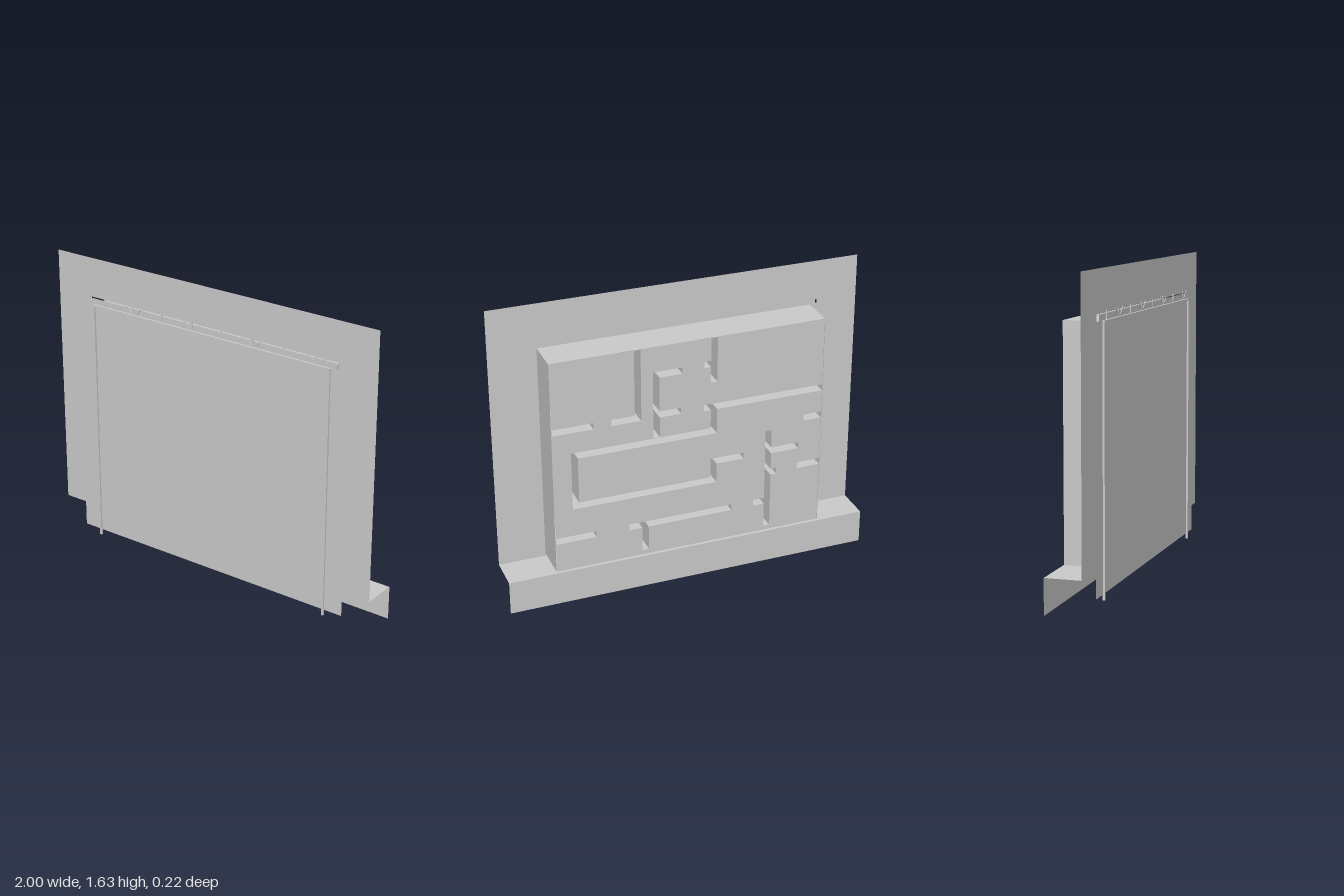
import * as THREE from 'three';

const grey = new THREE.MeshStandardMaterial({ color: 0xcccccc, side: THREE.DoubleSide });
grey.name = 'plainGrey';

export function createModel() {
  const root = new THREE.Group();
  const add = (name, geo, x = 0, y = 0, z = 0, parent = root) => {
    const m = new THREE.Mesh(geo, grey);
    m.name = name;
    m.position.set(x, y, z);
    parent.add(m);
    return m;
  };
  // box given by its limits
  const slab = (name, x0, x1, y0, y1, z0, z1) =>
    add(name, new THREE.BoxGeometry(x1 - x0, y1 - y0, z1 - z0), (x0 + x1) / 2, (y0 + y1) / 2, (z0 + z1) / 2);
  const rectPath = (P, x0, x1, y0, y1) => {
    const p = new P();
    p.moveTo(x0, y0); p.lineTo(x1, y0); p.lineTo(x1, y1); p.lineTo(x0, y1); p.closePath();
    return p;
  };

  // Folded backing sheet: upright with an opening, ledge, and skirt
  const sheet = rectPath(THREE.Shape, -1, 1, 0.185, 1.63);
  sheet.holes.push(rectPath(THREE.Path, -0.775, 0.775, 0.19, 1.415));
  add('backingSheet', new THREE.ShapeGeometry(sheet), 0, 0, 0.08);
  add('ledge', new THREE.PlaneGeometry(2, 0.19).rotateX(-Math.PI / 2), 0, 0.185, -0.015);
  add('skirt', new THREE.PlaneGeometry(2, 0.185).rotateY(Math.PI), 0, 0.0925, -0.11);
  slab('ledgeLip', -0.74, 0.74, 0.15, 0.184, -0.108, -0.095);

  // Front panel and the taller sheet behind it
  add('frontPanel', new THREE.PlaneGeometry(1.7, 1.325), 0, 0.7225, 0.1);
  add('innerSheet', new THREE.PlaneGeometry(1.55, 1.225), 0, 0.8025, 0.094);

  // Narrow frame standing proud of the front panel
  for (const s of [-1, 1]) slab('frameSide', s * 0.74 - 0.005, s * 0.74 + 0.005, 0.03, 1.385, 0.098, 0.11);
  slab('frameTop', -0.74, 0.74, 1.375, 1.385, 0.098, 0.11);

  // Lattice tucked behind the front panel
  const lattice = new THREE.Group();
  lattice.name = 'lattice';
  root.add(lattice);
  for (let i = 0; i < 8; i++) {
    add('uprightBar', new THREE.BoxGeometry(0.012, 1.36, 0.003), -0.67 + i * 0.19, 0.75, 0.0975, lattice);
  }
  for (let i = 0; i < 7; i++) {
    add('crossBar', new THREE.BoxGeometry(1.56, 0.012, 0.003), 0, 1.28 - i * 0.19, 0.0975, lattice);
  }
  for (let i = 0; i < 4; i++) for (const s of [-1, 1]) {
    const tip = add('diagonalTip', new THREE.BoxGeometry(0.006, 0.05, 0.003), -0.475 + i * 0.38 + s * 0.035, 1.41, 0.0975, lattice);
    tip.rotation.z = -s * Math.PI / 4;
  }

  // Deep block whose back is cut by a maze of narrow slots
  const X = 0.74, Y0 = 0.19, Y1 = 1.38, ZB = -0.1, ZF = 0.094, w = 0.0175;
  const slots = [];
  const h = (y, a, b) => slots.push([Math.min(a, b), Math.max(a, b), y - w, y + w]);
  const v = (x, a, b) => slots.push([x - w, x + w, Math.min(a, b), Math.max(a, b)]);
  // level slots: height, then the two ends
  [[1.0, 0.74, 0.52], [1.0, 0.424, 0.266], [1.225, 0.167, 0.043], [1.0, 0.167, 0.05],
   [1.235, -0.075, -0.13], [0.99, -0.075, -0.74], [0.85, 0.642, -0.148], [0.56, 0.642, -0.148],
   [0.67, -0.13, -0.3], [0.37, 0.74, 0.52], [0.37, 0.34, -0.235], [0.67, -0.44, -0.615],
   [0.83, -0.64, -0.74], [0.37, -0.36, -0.44], [0.54, -0.44, -0.49], [0.55, -0.61, -0.74],
  ].forEach((s) => h(...s));
  // upright slots: position, then the two ends
  [[0.283, 1.0, 1.38], [0.184, 0.87, 1.243], [-0.13, 1.13, 1.38], [-0.13, 0.8325, 1.0],
   [0.625, 0.5425, 0.8675], [-0.13, 0.5425, 0.6875], [0.25, 0.216, 0.385], [-0.44, 0.213, 0.79],
  ].forEach((s) => v(...s));

  const cuts = (ends, idx) => [...new Set([...ends, ...slots.flatMap((s) => [s[idx], s[idx + 1]])])].sort((a, b) => a - b);
  const xs = cuts([-X, X], 0), ys = cuts([Y0, Y1], 2);
  const isSlot = (i, j) => {
    const x = (xs[i] + xs[i + 1]) / 2, y = (ys[j] + ys[j + 1]) / 2;
    return slots.some((s) => x > s[0] && x < s[1] && y > s[2] && y < s[3]);
  };
  const isOpen = (i, j) => i >= 0 && j >= 0 && i < xs.length - 1 && j < ys.length - 1 && isSlot(i, j);
  const mesh = (quads) => {
    const g = new THREE.BufferGeometry();
    const pos = quads.flatMap(([a, b, c, d]) => [a, b, c, a, c, d].flat());
    g.setAttribute('position', new THREE.Float32BufferAttribute(pos, 3));
    g.computeVertexNormals();
    return g;
  };
  const back = [], walls = [];
  for (let i = 0; i < xs.length - 1; i++) for (let j = 0; j < ys.length - 1; j++) {
    const [a, b, c, d] = [xs[i], xs[i + 1], ys[j], ys[j + 1]];
    if (!isSlot(i, j)) {
      back.push([[a, c, ZB], [a, d, ZB], [b, d, ZB], [b, c, ZB]]);
      continue;
    }
    // slot walls face into the slot
    if (!isOpen(i - 1, j)) walls.push([[a, c, ZB], [a, d, ZB], [a, d, ZF], [a, c, ZF]]);
    if (!isOpen(i + 1, j)) walls.push([[b, c, ZF], [b, d, ZF], [b, d, ZB], [b, c, ZB]]);
    if (!isOpen(i, j - 1)) walls.push([[a, c, ZB], [a, c, ZF], [b, c, ZF], [b, c, ZB]]);
    if (!isOpen(i, j + 1)) walls.push([[a, d, ZF], [a, d, ZB], [b, d, ZB], [b, d, ZF]]);
  }
  add('blockBack', mesh(back));
  add('slotWalls', mesh(walls));

  // Outer sides of the block, a hair outside the slot ends
  const E = X + 0.002, T = Y1 + 0.002;
  add('blockSides', mesh([
    [[E, Y0, ZF], [E, Y0, ZB], [E, T, ZB], [E, T, ZF]],
    [[-E, Y0, ZB], [-E, Y0, ZF], [-E, T, ZF], [-E, T, ZB]],
    [[-E, T, ZF], [E, T, ZF], [E, T, ZB], [-E, T, ZB]],
    [[-E, Y0, ZB], [E, Y0, ZB], [E, Y0, ZF], [-E, Y0, ZF]],
  ]));
  return root;
}
